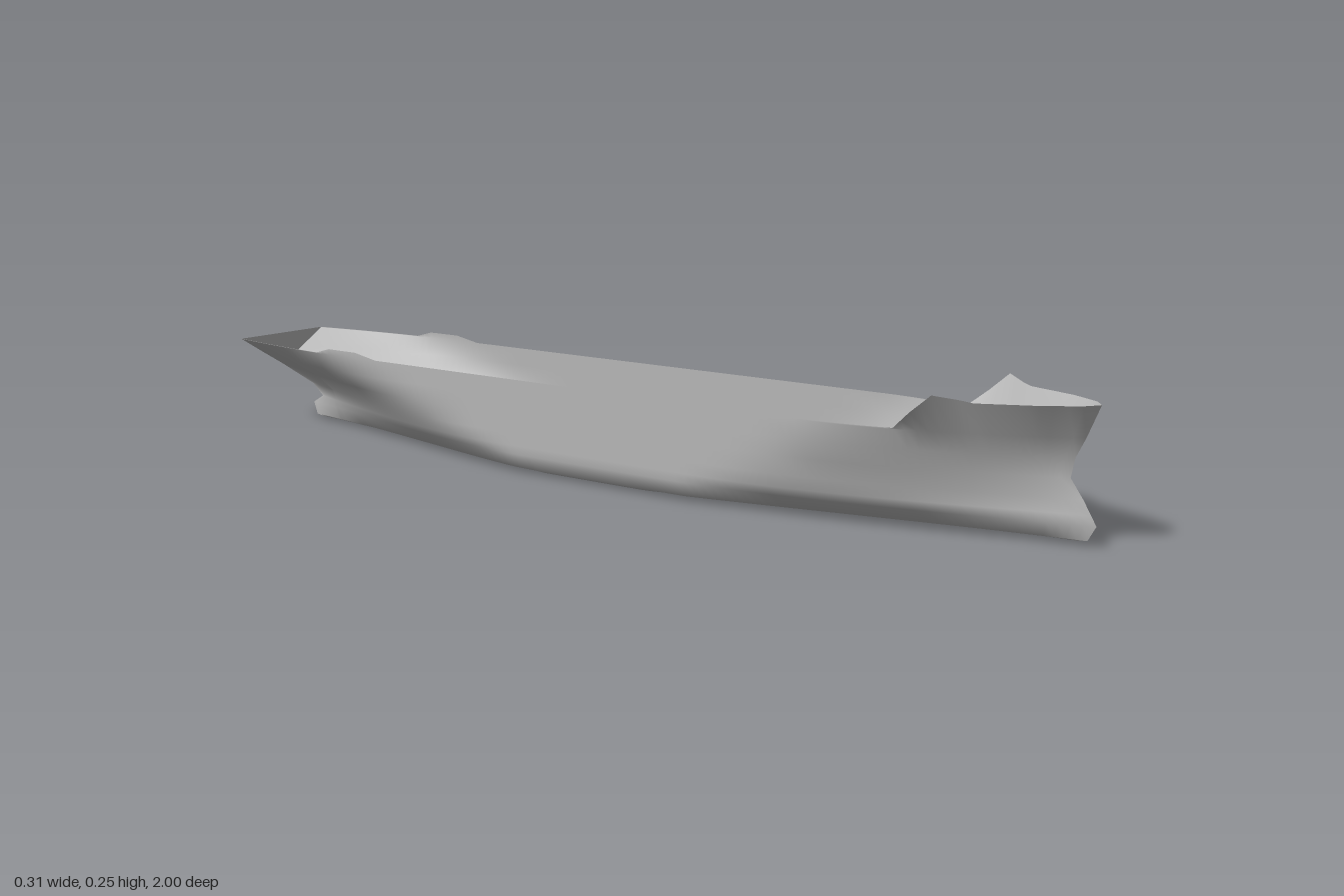
import * as THREE from 'three';

// Waterlines from keel to rail: height, midship half-breadth, half-breadth at the stern end,
// then for the stern and the bow: shoulder z, end z and the two powers of the taper
const waterlines = [
  { y: 0.003, mid: 0.13, sternX: 0, stern: [-0.1, -0.88, 1, 1.3], bow: [0.15, 0.97, 1, 1.2] },
  { y: 0.011, mid: 0.15, sternX: 0, stern: [-0.15, -0.89, 1.2, 1.3], bow: [0.25, 0.985, 1.1, 1.15] },
  { y: 0.038, mid: 0.157, sternX: 0, stern: [-0.15, -0.9, 1.5, 1.2], bow: [0.25, 1, 1.5, 1] },
  { y: 0.055, mid: 0.157, sternX: 0, stern: [-0.25, -0.87, 1.4, 1], bow: [0.3, 0.99, 1.7, 1.15] },
  { y: 0.08, mid: 0.157, sternX: 0, stern: [-0.25, -0.9, 1.8, 1.15], bow: [0.35, 0.975, 1.7, 1.15] },
  { y: 0.115, mid: 0.157, sternX: 0, stern: [-0.4, -1, 1.6, 1.1], bow: [0.4, 0.95, 1.7, 1] },
  { y: 0.15, mid: 0.157, sternX: 0.06, stern: [-0.5, -1, 1.9, 1], bow: [0.5, 0.957, 1.5, 1] },
  { y: 0.186, mid: 0.157, sternX: 0.12, stern: [-0.65, -1, 1.7, 1], bow: [0.5, 0.975, 1.8, 1] },
];
const railLine = waterlines[waterlines.length - 1];

// Flared bow bulwark in plan [z, x], and rail height along the ship [z, y]
const bowFlare = [[0.68, 0.13], [0.72, 0.145], [0.76, 0.143], [0.8, 0.115], [0.92, 0.066], [0.98, 0.028], [1, 0]];
const railHeight = [[-0.72, 0.187], [-0.68, 0.198], [-0.6, 0.198], [-0.54, 0.187], [0.68, 0.188], [0.76, 0.255], [0.82, 0.243], [1, 0.245]];

// Straight-line interpolation through [z, value] points
function sample(points, z) {
  for (let i = 1; i < points.length; i++) {
    const [z0, v0] = points[i - 1], [z1, v1] = points[i];
    if (z <= z1) return v0 + (v1 - v0) * Math.max(0, (z - z0) / (z1 - z0));
  }
  return points[points.length - 1][1];
}

// Parallel midbody tapering beyond the shoulders
function halfBreadth(line, z) {
  const [shoulder, end, p, q] = z < 0 ? line.stern : line.bow;
  const t = THREE.MathUtils.clamp((z - shoulder) / (end - shoulder), 0, 1);
  const endX = z < 0 ? line.sternX : 0;
  return endX + (line.mid - endX) * (1 - t ** p) ** q;
}

// Squeezes the end stations so each waterline stops on the stem and stern profile
function stationZ(u, line) {
  const end = Math.abs((u < 0 ? line.stern : line.bow)[1]);
  const a = Math.abs(u);
  return a <= 0.8 ? u : Math.sign(u) * (0.8 + (a - 0.8) / 0.2 * (end - 0.8));
}

// One side of the shell, side = 1 for left and -1 for right
function hullSide(side) {
  const stations = 100, rows = waterlines.length + 2;
  const positions = [], index = [];
  for (let i = 0; i <= stations; i++) {
    const u = -1 + 2 * i / stations;
    // keel
    positions.push(0, 0.009 * u * u, stationZ(u, waterlines[0]));
    // bottom, bilge and side
    waterlines.forEach((line, j) => {
      const z = stationZ(u, line);
      const rise = j === 0 ? 0.007 * u * u : 0;
      positions.push(side * halfBreadth(line, z), line.y + rise, z);
    });
    // rail
    const railX = u < 0.68 ? halfBreadth(railLine, u) : sample(bowFlare, u);
    positions.push(side * railX, sample(railHeight, u), u);
  }
  for (let i = 0; i < stations; i++) {
    for (let j = 0; j < rows - 1; j++) {
      const a = i * rows + j, b = a + 1, c = a + rows, d = c + 1;
      if (side > 0) index.push(a, b, c, b, d, c);
      else index.push(a, c, b, b, c, d);
    }
  }
  const geometry = new THREE.BufferGeometry();
  geometry.setAttribute('position', new THREE.Float32BufferAttribute(positions, 3));
  geometry.setIndex(index);
  geometry.computeVertexNormals();
  return geometry;
}

export function createModel() {
  const group = new THREE.Group();
  group.name = 'shipHull';
  const hullGrey = new THREE.MeshStandardMaterial({ color: 0xb8b8b8, side: THREE.DoubleSide });
  hullGrey.name = 'hullGrey';

  const add = (name, geometry) => {
    const mesh = new THREE.Mesh(geometry, hullGrey);
    mesh.name = name;
    group.add(mesh);
    return mesh;
  };
  add('leftHullShell', hullSide(1));
  add('rightHullShell', hullSide(-1));

  // V-shaped transom closing the stern
  const outline = [[0, 0.115], [0.06, 0.15], [0.12, 0.187], [-0.12, 0.187], [-0.06, 0.15]];
  const shape = new THREE.Shape(outline.map(([x, y]) => new THREE.Vector2(x, y)));
  const transom = add('transom', new THREE.ShapeGeometry(shape));
  transom.rotation.y = Math.PI;
  transom.position.z = -1;
  return group;
}
